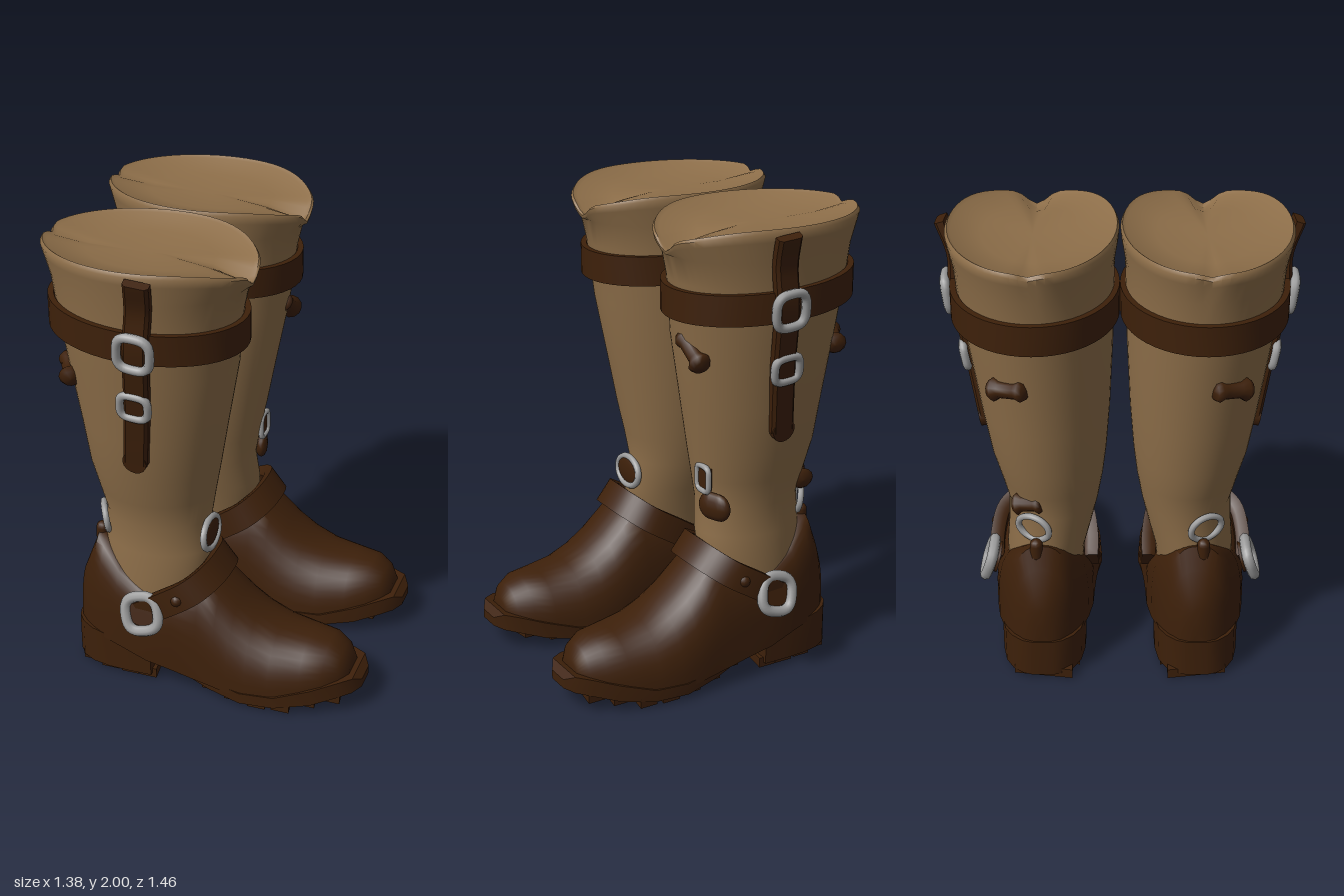
import * as THREE from 'three';
import { toCreasedNormals, mergeVertices } from 'three/addons/utils/BufferGeometryUtils.js';

const V = (x, y, z) => new THREE.Vector3(x, y, z);
const mat = (name, color) => new THREE.MeshStandardMaterial({ name, color });
const CZ = 0.33; // centre line of one boot

// Skin a list of rings; optional end caps or closure end to end
function loft(rows, { loop = false, crease = 0.7 } = {}) {
  const n = rows[0].length, m = rows.length, pts = rows.flat(), idx = [];
  for (let i = 0; i < (loop ? m : m - 1); i++) for (let j = 0; j < n; j++) {
    const k = (j + 1) % n, r = ((i + 1) % m) * n;
    idx.push(i * n + j, r + j, i * n + k, r + j, r + k, i * n + k);
  }
  if (!loop) for (const i of [0, m - 1]) {
    const c = rows[i].reduce((a, p) => a.add(p), V(0, 0, 0)).divideScalar(n), ci = pts.push(c) - 1;
    for (let j = 0; j < n; j++) {
      const a = i * n + j, b = i * n + (j + 1) % n;
      if (i === 0) idx.push(ci, a, b); else idx.push(ci, b, a);
    }
  }
  const g = new THREE.BufferGeometry().setFromPoints(pts);
  g.setIndex(idx);
  return toCreasedNormals(g, crease);
}

// Flat strap swept along a curve; across = direction of its width
function strap(points, across, width, thick, loop = false, steps = 24) {
  const curve = new THREE.CatmullRomCurve3(points, loop), rows = [];
  for (let i = 0; i < (loop ? steps : steps + 1); i++) {
    const p = curve.getPoint(i / steps), T = curve.getTangent(i / steps);
    const N = T.clone().cross(across).normalize(), B = N.clone().cross(T).normalize();
    rows.push([[1, -0.75], [1, 0.75], [0.4, 1], [-1, 1], [-1, -1], [0.4, -1]].map(([a, b]) =>
      p.clone().addScaledVector(N, a * thick / 2).addScaledVector(B, b * width / 2)));
  }
  return loft(rows, { loop });
}

const pw = (v, e) => Math.sign(v) * Math.abs(v) ** e;
const place = (g, [x, y, z], yaw = 0, roll = 0, tilt = 0) =>
  g.rotateZ(roll).rotateX(tilt).rotateY(yaw).translate(x, y, z);

// Rounded metal frame; e = 1 is oval, smaller is squarer
function frame(w, h, r, e) {
  const pts = [];
  for (let i = 0; i < 20; i++) {
    const a = i / 20 * Math.PI * 2;
    pts.push(V(pw(Math.cos(a), e) * (w / 2 - r), pw(Math.sin(a), e) * (h / 2 - r), 0));
  }
  return new THREE.TubeGeometry(new THREE.CatmullRomCurve3(pts, true), 40, r, 8, true);
}

// Tan leg: y, back x, front x, inner z, outer z
function legGeometry() {
  const N = 64, rows = [];
  const ring = (y, xb, xf, zi, zo, dip = 0, k = 1) => {
    const r = [];
    for (let j = 0; j < N; j++) {
      const a = j / N * Math.PI * 2, c = Math.cos(a), d = a > Math.PI ? a - 2 * Math.PI : a;
      const notch = Math.exp(-((d / 0.17) ** 2)), slit = Math.exp(-(((a - Math.PI) / 0.1) ** 2));
      const q = k * (1 - dip * (0.04 * notch + 0.04 * slit));
      const drop = dip * (0.065 * Math.max(0, c) ** 4 + 0.05 * notch + 0.02 * slit);
      r.push(V((xb + xf) / 2 + (xf - xb) / 2 * c * q, y - drop, (zi + zo) / 2 + (zo - zi) / 2 * Math.sin(a) * q));
    }
    rows.push(r);
  };
  [[0.32, -0.47, -0.06, 0.17, 0.48], [0.5, -0.49, -0.02, 0.15, 0.485], [0.62, -0.495, -0.015, 0.12, 0.475],
    [0.75, -0.49, -0.03, 0.09, 0.47], [0.87, -0.52, -0.01, 0.07, 0.5], [1.0, -0.55, 0.015, 0.055, 0.535],
    [1.2, -0.575, 0.05, 0.04, 0.57], [1.5, -0.62, 0.105, 0.027, 0.615], [1.75, -0.65, 0.13, 0.022, 0.65],
    [1.86, -0.665, 0.155, 0.02, 0.66]].forEach(a => ring(...a));
  ring(1.95, -0.69, 0.19, 0.005, 0.68, 0.7);
  ring(1.985, -0.7, 0.196, 0.002, 0.685, 0.9);
  ring(2.0, -0.69, 0.188, 0.01, 0.675, 1);
  // shallow closed top
  ring(1.99, -0.69, 0.185, 0.01, 0.675, 1, 0.96);
  ring(1.96, -0.69, 0.185, 0.01, 0.675, 0.3, 0.6);
  ring(1.95, -0.69, 0.185, 0.01, 0.675, 0, 0.15);
  return loft(rows, { crease: 0.9 });
}

// Leather foot: x, half width, base y, top y, squareness
function footGeometry() {
  const N = 40;
  return loft([[-0.605, 0.04, 0.18, 0.36, 2.5], [-0.59, 0.08, 0.18, 0.43, 2.5], [-0.55, 0.122, 0.18, 0.53, 2.6],
    [-0.51, 0.148, 0.18, 0.63, 2.6], [-0.47, 0.168, 0.17, 0.62, 2.8], [-0.38, 0.195, 0.16, 0.55, 3.6],
    [-0.24, 0.212, 0.12, 0.44, 4.5], [-0.12, 0.216, 0.1, 0.5, 3.8], [-0.01, 0.222, 0.08, 0.57, 2.7],
    [0.07, 0.23, 0.07, 0.495, 2.5], [0.14, 0.238, 0.06, 0.425, 2.4], [0.22, 0.24, 0.06, 0.365, 2.3],
    [0.32, 0.232, 0.06, 0.316, 2.3], [0.45, 0.2, 0.08, 0.297, 2.3], [0.54, 0.165, 0.1, 0.29, 2.3],
    [0.6, 0.12, 0.12, 0.255, 2.3], [0.635, 0.07, 0.13, 0.2, 2]].map(([x, w, yb, yt, e]) =>
    Array.from({ length: N }, (_, j) => {
      const a = j / N * Math.PI * 2;
      return V(x, yb + (yt - yb) * pw(Math.max(0, Math.sin(a)), 2 / e), CZ + w * pw(Math.cos(a), 2 / e));
    })), { crease: 0.8 });
}

// Rectangular sections along x: x, half width, bottom, top
const slab = rows => loft(rows.map(([x, w, b, t]) =>
  [V(x, b, CZ + w), V(x, t, CZ + w), V(x, t, CZ - w), V(x, b, CZ - w)]), { crease: 0.5 });

const SOLE = [[-0.24, 0.155, 0.1, 0.15], [-0.1, 0.175, 0.075, 0.125], [0.05, 0.22, 0.047, 0.095], [0.2, 0.245, 0.025, 0.075],
  [0.35, 0.235, 0.028, 0.08], [0.5, 0.195, 0.052, 0.125], [0.6, 0.145, 0.08, 0.155], [0.66, 0.1, 0.092, 0.165], [0.69, 0.05, 0.1, 0.14]];
const HEEL = [[-0.612, 0.045, 0.022, 0.2], [-0.6, 0.085, 0.022, 0.2], [-0.565, 0.13, 0.022, 0.2], [-0.51, 0.162, 0.022, 0.195],
  [-0.43, 0.178, 0.022, 0.185], [-0.33, 0.182, 0.022, 0.175], [-0.23, 0.18, 0.022, 0.16]];

// Slanted tread bar under a sole at x
function lug(rows, x, reach) {
  const i = Math.max(1, rows.findIndex(r => r[0] > x)), a = rows[i - 1], b = rows[i];
  const t = (x - a[0]) / (b[0] - a[0]), w = a[1] + (b[1] - a[1]) * t, y = a[2] + (b[2] - a[2]) * t;
  const g = new THREE.BoxGeometry(0.08, 0.045, w * reach), p = g.attributes.position;
  for (let k = 0; k < p.count; k++) p.setX(k, p.getX(k) + 0.15 * p.getZ(k));
  g.computeVertexNormals();
  return g.translate(x, y + 0.0005, CZ);
}

// Toggle: short leather roll with a knob at each end
const toggle = len => new THREE.LatheGeometry([[0, -0.5], [0.036, -0.47], [0.05, -0.34], [0.034, -0.2],
  [0.034, 0.22], [0.044, 0.36], [0.034, 0.47], [0, 0.5]].map(([r, y]) => new THREE.Vector2(r, y * len)), 12);

export function createModel() {
  const tan = mat('tan leather', 0x8d6e49), brown = mat('brown leather', 0x3d200a), metal = mat('grey metal', 0x9c9c9c);
  const model = new THREE.Group();
  model.name = 'bootPair';

  for (const s of [1, -1]) {
    const boot = new THREE.Group();
    boot.name = s > 0 ? 'nearBoot' : 'farBoot';
    model.add(boot);
    // Each part is made for the +z boot and mirrored for the other
    const add = (name, geo, m) => {
      let g = geo;
      if (s < 0) {
        if (!g.index) g = mergeVertices(g);
        g.scale(1, 1, -1);
        const ix = g.index.array;
        for (let i = 0; i < ix.length; i += 3) [ix[i], ix[i + 1]] = [ix[i + 1], ix[i]];
      }
      const mesh = new THREE.Mesh(g, m);
      mesh.name = name;
      boot.add(mesh);
    };

    add('leg', legGeometry(), tan);
    add('foot', footGeometry(), brown);
    add('sole', slab(SOLE), brown);
    add('heel', slab(HEEL), brown);
    for (let x = -0.08; x < 0.62; x += 0.106) add('soleTread', lug(SOLE, x, x > 0.4 ? 1.6 : 1.85), brown);
    for (const x of [-0.55, -0.455, -0.36, -0.275]) add('heelTread', lug(HEEL, x, 1.8), brown);

    // Belt round the upper leg
    const belt = Array.from({ length: 24 }, (_, i) => {
      const a = i / 24 * Math.PI * 2, c = Math.cos(a);
      return V(-0.263 + 0.4 * c, 1.686 - 0.021 * c, 0.338 + 0.32 * Math.sin(a));
    });
    add('upperBelt', strap(belt, V(0, 1, 0), 0.128, 0.035, true, 48), brown);

    // Hanging strap and its buckles on the outer side
    add('sideStrap', strap([V(-0.16, 1.975, 0.71), V(-0.175, 1.85, 0.668), V(-0.19, 1.68, 0.665), V(-0.215, 1.4, 0.61),
      V(-0.245, 1.12, 0.562)], V(1, 0.1, 0), 0.105, 0.04), brown);
    add('sideStrapTip', place(new THREE.CylinderGeometry(0.052, 0.052, 0.036, 16).rotateX(Math.PI / 2), [-0.246, 1.125, 0.563], 0, 0, 0.17), brown);
    add('upperBuckle', place(frame(0.18, 0.185, 0.02, 0.65), [-0.19, 1.67, 0.69], 0, -0.08, 0.14), metal);
    add('lowerBuckle', place(frame(0.155, 0.145, 0.018, 0.6), [-0.22, 1.405, 0.628], 0, -0.08, 0.18), metal);

    // Instep strap with ankle buckles
    add('instepStrap', strap([V(-0.25, 0.37, CZ + 0.205), V(-0.14, 0.44, CZ + 0.203), V(-0.04, 0.5, CZ + 0.175), V(0.015, 0.54, CZ + 0.1),
      V(0.028, 0.55, CZ), V(0.015, 0.54, CZ - 0.1), V(-0.04, 0.5, CZ - 0.175), V(-0.14, 0.44, CZ - 0.203), V(-0.25, 0.37, CZ - 0.205)],
      V(0.62, -0.78, 0), 0.115, 0.06, false, 32), brown);
    add('ankleBuckle', place(frame(0.195, 0.2, 0.024, 0.72), [-0.24, 0.38, 0.568], 0, 0.25, -0.3), metal);
    add('anklePad', place(new THREE.CylinderGeometry(0.066, 0.072, 0.04, 14).rotateX(Math.PI / 2), [-0.24, 0.385, 0.548], 0, 0, -0.25), brown);
    add('strapStud', place(new THREE.SphereGeometry(0.028, 12, 8), [-0.09, 0.465, 0.54]), brown);

    // Rear ring, tab and toggle
    add('rearRing', place(frame(0.17, 0.15, 0.014, 1), [-0.48, 0.705, CZ + 0.03], -Math.PI / 2 + 0.45, 0, 0.15), metal);
    add('rearTab', place(new THREE.CapsuleGeometry(0.028, 0.05, 4, 10), [-0.505, 0.61, CZ + 0.02]), brown);
    add('rearToggle', place(toggle(0.17), [-0.578, 1.435, 0.44], -1.1, 1.4), brown);

    if (s > 0) {
      // Oval front ring with leather inside
      add('frontRing', place(frame(0.21, 0.16, 0.015, 1), [-0.018, 0.685, 0.31], Math.PI / 2, 0, -0.1), metal);
      add('frontRingPatch', new THREE.SphereGeometry(1, 20, 12).scale(0.02, 0.068, 0.092).translate(-0.022, 0.685, 0.31), brown);
    } else {
      // Front toggle, small buckle and patch, plus a low rear toggle
      add('frontToggle', place(toggle(0.19), [0.08, 1.465, 0.39], Math.PI / 2, -1.0), brown);
      add('frontBuckle', place(frame(0.115, 0.135, 0.013, 0.5), [-0.004, 0.88, 0.345], Math.PI / 2), metal);
      add('frontBucklePatch', new THREE.BoxGeometry(0.02, 0.1, 0.08).translate(-0.013, 0.88, 0.345), brown);
      add('frontPatch', place(new THREE.CapsuleGeometry(0.062, 0.035, 5, 12).rotateZ(Math.PI / 2).scale(1, 1, 0.5),
        [-0.035, 0.76, 0.39], Math.PI / 2 - 0.35), brown);
      add('lowRearToggle', place(toggle(0.13), [-0.468, 0.82, 0.38], -1.3, 1.4), brown);
    }
  }
  return model;
}
